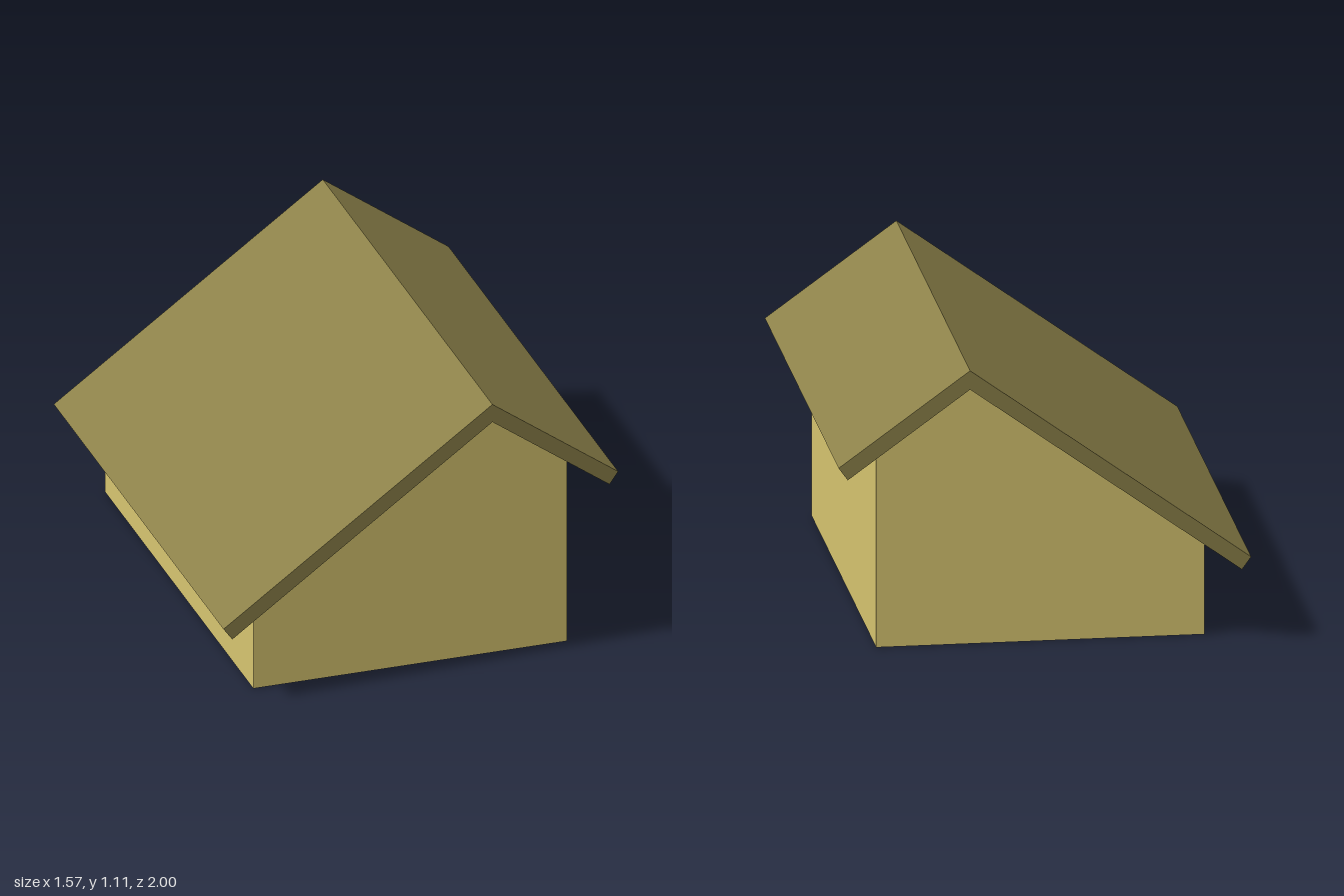
import * as THREE from 'three';

const RIDGE_X = 0.285, SLOPE = 0.725;
const UNDER = 1.038, TOP = 1.112; // ridge heights of the roof's lower and upper faces

// Height of a roof face at x, given its ridge height
const roofY = (x, ridge) => ridge - Math.abs(x - RIDGE_X) * SLOPE;

// Extrude an outline in the xy plane, centred on z = 0
function prism(name, points, depth, color) {
  const shape = new THREE.Shape(points.map(([x, y]) => new THREE.Vector2(x, y)));
  const geometry = new THREE.ExtrudeGeometry(shape, { depth, bevelEnabled: false });
  geometry.translate(0, 0, -depth / 2);
  const mesh = new THREE.Mesh(geometry, new THREE.MeshStandardMaterial({ color }));
  mesh.name = name;
  return mesh;
}

export function createModel() {
  const group = new THREE.Group();
  group.name = 'house';

  // Body with an off-centre gable at front and back
  const w = 0.625, floorTop = 0.002;
  group.add(prism('walls', [
    [-w, floorTop], [w, floorTop],
    [w, roofY(w, UNDER)], [RIDGE_X, UNDER], [-w, roofY(-w, UNDER)],
  ], 1.75, 0xd8c670));

  // Two unequal slopes of even thickness, with eaves cut square
  const outer = 0.786, inner = 0.751;
  group.add(prism('roof', [
    [-inner, roofY(-inner, UNDER)], [RIDGE_X, UNDER], [inner, roofY(inner, UNDER)],
    [outer, roofY(outer, TOP)], [RIDGE_X, TOP], [-outer, roofY(-outer, TOP)],
  ], 2, 0x8c8149));

  // Thin floor under the walls
  group.add(prism('floor', [[-w, 0], [w, 0], [w, floorTop], [-w, floorTop]], 1.75, 0x888888));

  return group;
}
